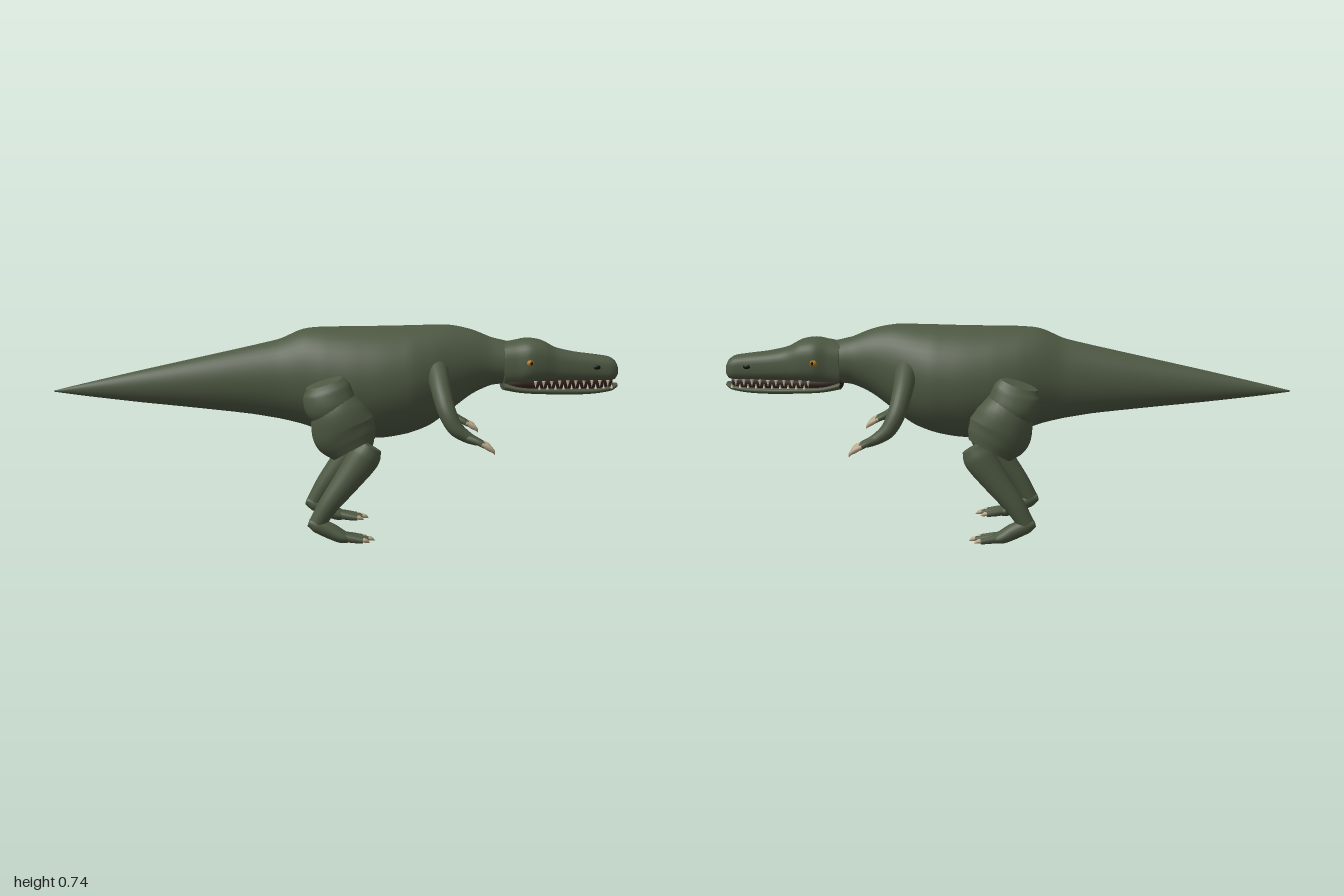
import * as THREE from 'three';

const mat = (name, color) => {
  const m = new THREE.MeshStandardMaterial({ color });
  m.name = name;
  return m;
};

// Smooth loft through sections [x, y, z, r1, r2]: r1 lies in the xy plane, r2 towards z.
// "upright" keeps every ring in a plane across x; "power" above 2 squares the ring.
function loft(sections, { sides = 24, steps = 5, upright = false, power = 2 } = {}) {
  const path = new THREE.CatmullRomCurve3(sections.map(s => new THREE.Vector3(s[0], s[1], s[2])));
  const radii = new THREE.CatmullRomCurve3(sections.map(s => new THREE.Vector3(s[3], s[4], 0)));
  const n = (sections.length - 1) * steps;
  const pos = [], idx = [], rings = [];
  const shape = v => Math.sign(v) * Math.abs(v) ** (2 / power);
  for (let i = 0; i <= n; i++) {
    const p = path.getPoint(i / n), r = radii.getPoint(i / n);
    const t = upright ? new THREE.Vector3(1, 0, 0) : path.getTangent(i / n);
    const side = new THREE.Vector3(0, 0, 1).addScaledVector(t, -t.z).normalize();
    const up = side.clone().cross(t);
    const ring = [];
    for (let j = 0; j < sides; j++) {
      const a = j / sides * Math.PI * 2;
      ring.push(p.clone()
        .addScaledVector(up, shape(Math.cos(a)) * Math.max(r.x, 0.0005))
        .addScaledVector(side, shape(Math.sin(a)) * Math.max(r.y, 0.0005)));
    }
    rings.push(ring);
    ring.forEach(v => pos.push(v.x, v.y, v.z));
  }
  for (let i = 0; i < n; i++) for (let j = 0; j < sides; j++) {
    const k = (j + 1) % sides, a = i * sides, b = a + sides;
    idx.push(a + j, a + k, b + j, a + k, b + k, b + j);
  }
  // End caps with their own vertices, so the rims stay sharp
  for (const end of [0, n]) {
    const base = pos.length / 3, c = path.getPoint(end / n);
    rings[end].forEach(v => pos.push(v.x, v.y, v.z));
    pos.push(c.x, c.y, c.z);
    for (let j = 0; j < sides; j++) {
      const k = (j + 1) % sides;
      idx.push(base + sides, base + (end ? j : k), base + (end ? k : j));
    }
  }
  const g = new THREE.BufferGeometry();
  g.setAttribute('position', new THREE.Float32BufferAttribute(pos, 3));
  g.setIndex(idx);
  g.computeVertexNormals();
  return g;
}

// Sections along x from [x, top, bottom, halfWidth]
const spans = rows => rows.map(([x, t, b, w]) => [x, (t + b) / 2, 0, (t - b) / 2, w]);

export function createModel() {
  const model = new THREE.Group();
  const skin = mat('skin green', 0x4d5842);
  const claw = mat('claw horn', 0xb9a88a);
  const ivory = mat('tooth ivory', 0xcfc3a6);
  const mouthDark = mat('mouth dark', 0x2a1a17);
  const amber = mat('eye amber', 0xb5791c);
  const black = mat('pupil black', 0x0d0d0c);

  const add = (parent, name, geometry, material) => {
    const m = new THREE.Mesh(geometry, material);
    m.name = name;
    parent.add(m);
    return m;
  };
  const group = name => {
    const g = new THREE.Group();
    g.name = name;
    model.add(g);
    return g;
  };
  const ball = (parent, name, material, p, s) => {
    const m = add(parent, name, new THREE.SphereGeometry(1, 16, 12), material);
    m.position.set(...p);
    m.scale.set(...s);
    return m;
  };

  // Tail, trunk and neck in one skin
  add(model, 'body', loft(spans([
    [-1, 0.518, 0.514, 0.002], [-0.9, 0.542, 0.5, 0.015], [-0.7, 0.588, 0.476, 0.04],
    [-0.5, 0.632, 0.455, 0.063], [-0.3, 0.676, 0.432, 0.085], [-0.2, 0.7, 0.415, 0.1],
    [-0.12, 0.734, 0.395, 0.125], [-0.05, 0.742, 0.37, 0.148], [0.05, 0.743, 0.352, 0.168],
    [0.15, 0.744, 0.345, 0.176], [0.25, 0.746, 0.36, 0.17], [0.33, 0.748, 0.39, 0.145],
    [0.4, 0.747, 0.44, 0.115], [0.48, 0.73, 0.5, 0.088], [0.55, 0.702, 0.532, 0.071],
    [0.62, 0.685, 0.54, 0.07],
  ]), { sides: 40, upright: true }), skin);

  // Head with open, toothed mouth
  const head = group('head');
  add(head, 'skull', loft(spans([
    [0.59, 0.684, 0.525, 0.074], [0.635, 0.692, 0.53, 0.08], [0.68, 0.699, 0.538, 0.092],
    [0.73, 0.691, 0.543, 0.085], [0.78, 0.665, 0.545, 0.07], [0.85, 0.649, 0.546, 0.06],
    [0.92, 0.64, 0.546, 0.053], [0.97, 0.632, 0.547, 0.05], [0.99, 0.62, 0.552, 0.042],
    [1, 0.6, 0.565, 0.025],
  ]), { sides: 36, upright: true, power: 2.8 }), skin);
  const jawRows = [
    [0.59, 0.55, 0.516, 0.07], [0.65, 0.534, 0.506, 0.076], [0.75, 0.529, 0.5, 0.07],
    [0.85, 0.526, 0.498, 0.059], [0.93, 0.527, 0.503, 0.053], [0.98, 0.534, 0.512, 0.043],
    [1, 0.537, 0.524, 0.025],
  ];
  add(head, 'lowerJaw', loft(spans(jawRows), { sides: 28, upright: true, power: 2.5 }), skin);
  add(head, 'mouthInterior', loft(spans(
    jawRows.slice(0, 6).map(([x, , , w]) => [x, 0.556, 0.516, w - 0.01]),
  ), { upright: true, power: 4 }), mouthDark);

  for (const s of [1, -1]) {
    // Two rows of teeth on each side
    for (let i = 0; i < 10; i++) {
      const x = 0.7 + i * 0.029;
      const z = s * (0.07 - i * 0.0027);
      const upper = add(head, 'upperTooth', new THREE.ConeGeometry(0.0065, 0.024, 8), ivory);
      upper.position.set(x, 0.54, z);
      upper.rotation.x = Math.PI;
      const lower = add(head, 'lowerTooth', new THREE.ConeGeometry(0.005, 0.018, 8), ivory);
      lower.position.set(x + 0.0145, 0.531, z * 0.95);
    }
    ball(head, 'eye', amber, [0.678, 0.618, s * 0.088], [0.013, 0.012, 0.009]);
    ball(head, 'pupil', black, [0.681, 0.618, s * 0.0945], [0.005, 0.007, 0.004]);
    ball(head, 'nostril', black, [0.92, 0.598, s * 0.052], [0.013, 0.008, 0.005]);
  }

  for (const s of [1, -1]) {
    const label = s > 0 ? 'front' : 'back';
    const part = (parent, name, rows, material = skin, opts) =>
      add(parent, name, loft(rows.map(([x, y, z, a, b]) => [x, y, z * s, a, b]), opts), material);

    // Arm, hand and three fingers
    const arm = group(label + 'Arm');
    part(arm, 'arm', [
      [0.345, 0.61, 0.06, 0.05, 0.055], [0.35, 0.575, 0.13, 0.038, 0.045],
      [0.357, 0.525, 0.195, 0.034, 0.037], [0.372, 0.465, 0.24, 0.031, 0.031],
      [0.4, 0.412, 0.254, 0.027, 0.028], [0.44, 0.382, 0.257, 0.02, 0.024],
      [0.475, 0.366, 0.26, 0.014, 0.024],
    ]);
    for (const d of [-1, 0, 1]) {
      const z = 0.26 + d * 0.036;
      part(arm, 'finger', [
        [0.44, 0.38, 0.258 + d * 0.012, 0.012, 0.012],
        [0.47, 0.37, 0.259 + d * 0.027, 0.011, 0.011],
        [0.496, 0.357, z, 0.009, 0.01],
      ], skin, { sides: 12 });
      part(arm, 'fingerClaw', [
        [0.486, 0.362, z, 0.008, 0.009], [0.51, 0.35, z, 0.01, 0.01],
        [0.526, 0.337, z, 0.006, 0.007], [0.531, 0.327, z, 0.001, 0.001],
      ], claw, { sides: 12 });
    }

    // Leg: hip, thigh and shin overlap with visible rims
    const leg = group(label + 'Leg');
    part(leg, 'hip', [
      [-0.05, 0.565, 0.195, 0.066, 0.035], [-0.042, 0.54, 0.19, 0.083, 0.057],
      [-0.03, 0.49, 0.185, 0.09, 0.072], [-0.01, 0.44, 0.185, 0.07, 0.065],
    ]);
    part(leg, 'thigh', [
      [-0.015, 0.5, 0.17, 0.075, 0.07], [0, 0.45, 0.182, 0.1, 0.083],
      [0.018, 0.4, 0.182, 0.112, 0.083], [0.04, 0.36, 0.188, 0.1, 0.07],
      [0.055, 0.332, 0.193, 0.08, 0.057],
    ], skin, { sides: 28 });
    part(leg, 'shin', [
      [0.11, 0.345, 0.2, 0.042, 0.04], [0.088, 0.305, 0.2, 0.056, 0.05],
      [0.03, 0.225, 0.203, 0.047, 0.044], [-0.035, 0.14, 0.207, 0.036, 0.035],
      [-0.075, 0.075, 0.208, 0.029, 0.027],
    ]);
    part(leg, 'foot', [
      [-0.104, 0.078, 0.208, 0.014, 0.016], [-0.075, 0.068, 0.208, 0.027, 0.027],
      [-0.03, 0.048, 0.208, 0.028, 0.032], [0.01, 0.028, 0.208, 0.023, 0.037],
      [0.04, 0.022, 0.208, 0.015, 0.033],
    ]);
    for (const d of [-1, 0, 1]) {
      const z = 0.205 + d * 0.036, reach = d ? 0 : 0.02;
      part(leg, 'toe', [
        [0, 0.03, 0.208 + d * 0.014, 0.016, 0.015],
        [0.045, 0.023, 0.206 + d * 0.026, 0.014, 0.013],
        [0.083 + reach, 0.018, z, 0.01, 0.011],
      ], skin, { sides: 12 });
      part(leg, 'toeClaw', [
        [0.075 + reach, 0.021, z, 0.007, 0.008], [0.09 + reach, 0.019, z, 0.008, 0.008],
        [0.106 + reach, 0.012, z, 0.001, 0.001],
      ], claw, { sides: 12 });
    }
  }
  return model;
}
